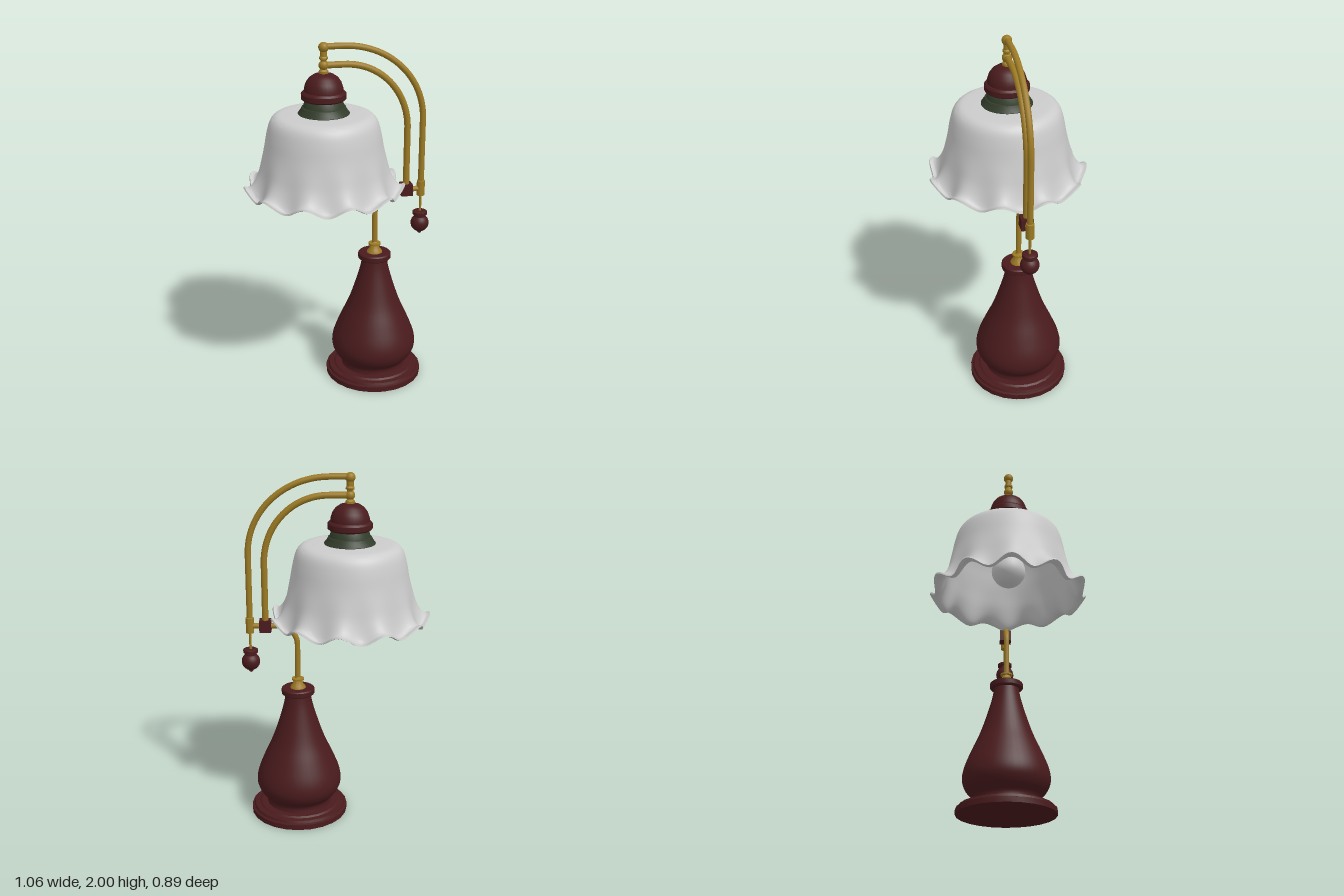
import * as THREE from 'three';
import { toCreasedNormals } from 'three/addons/utils/BufferGeometryUtils.js';

const wood = new THREE.MeshStandardMaterial({ color: 0x4a1b1d });
const brass = new THREE.MeshStandardMaterial({ color: 0x9c7a24 });
const patina = new THREE.MeshStandardMaterial({ color: 0x333d2b });
const glass = new THREE.MeshStandardMaterial({ color: 0xcccccc, side: THREE.DoubleSide });
const bulbGlass = new THREE.MeshStandardMaterial({ color: 0xcccccc });

const BASE_X = 0.21, SHADE_X = -0.083, INNER_X = 0.388, OUTER_X = 0.475;
const v2 = ([x, y]) => new THREE.Vector2(x, y);

export function createModel() {
  const lamp = new THREE.Group();
  lamp.name = 'tableLamp';

  const add = (name, geometry, material, x = 0, y = 0) => {
    const mesh = new THREE.Mesh(geometry, material);
    mesh.name = name;
    mesh.position.set(x, y, 0);
    lamp.add(mesh);
    return mesh;
  };
  // Turned part: profile of [radius, height] from bottom to top
  const turned = (name, profile, material, x, sides = 32) =>
    add(name, toCreasedNormals(new THREE.LatheGeometry(profile.map(v2), sides), 0.6), material, x);
  const ball = (name, r, material, x, y) =>
    add(name, new THREE.SphereGeometry(r, 24, 16), material, x, y);
  // Pipe: straight run, quarter bend, straight run
  const pipe = (name, start, bendStart, corner, bendEnd, end, r) => {
    const p = ([x, y]) => new THREE.Vector3(x, y, 0);
    const k = 0.56;
    const a = p(bendStart), b = p(bendEnd), c = p(corner);
    const path = new THREE.CurvePath();
    path.add(new THREE.LineCurve3(p(start), a));
    path.add(new THREE.CubicBezierCurve3(a, a.clone().lerp(c, k), b.clone().lerp(c, k), b));
    path.add(new THREE.LineCurve3(b, p(end)));
    add(name, new THREE.TubeGeometry(path, 56, r, 14), brass);
  };

  // Foot and vase-shaped body
  turned('foot', [[0, 0], [0.28, 0], [0.28, 0.03], [0.268, 0.034], [0.262, 0.048],
    [0.235, 0.05], [0.225, 0.058], [0, 0.058]], wood, BASE_X, 24);
  const body = new THREE.SplineCurve([[0.19, 0.05], [0.187, 0.09], [0.225, 0.135], [0.245, 0.19],
    [0.235, 0.26], [0.195, 0.36], [0.15, 0.46], [0.112, 0.57], [0.083, 0.67], [0.07, 0.74]].map(v2));
  add('body', new THREE.LatheGeometry(body.getPoints(36), 40), wood, BASE_X);
  turned('bodyCap', [[0, 0.733], [0.088, 0.733], [0.094, 0.739], [0.094, 0.764],
    [0.088, 0.77], [0, 0.77]], wood, BASE_X);
  turned('stemSocket', [[0.045, 0.768], [0.043, 0.778], [0.03, 0.792], [0.022, 0.815], [0.035, 0.817],
    [0.035, 0.827], [0.018, 0.829], [0.015, 0.835]], brass, BASE_X, 24);

  // Stem and the two arched arms
  pipe('stem', [BASE_X, 0.8], [BASE_X, 1.03], [BASE_X, 1.14], [0.32, 1.14], [OUTER_X, 1.14], 0.0155);
  pipe('innerArm', [SHADE_X, 1.876], [0.03, 1.876], [INNER_X, 1.876], [INNER_X, 1.5], [INNER_X, 1.14], 0.018);
  pipe('outerArm', [SHADE_X, 1.976], [0.02, 1.976], [OUTER_X, 1.976], [OUTER_X, 1.55], [OUTER_X, 1.15], 0.017);
  add('armBlock', new THREE.BoxGeometry(0.066, 0.066, 0.066), wood, INNER_X, 1.142);
  turned('armSleeve', [[0, 1.1], [0.023, 1.1], [0.023, 1.187], [0.016, 1.19]], brass, OUTER_X, 20);

  // Hanging finial below the outer arm
  add('finialRod', new THREE.CylinderGeometry(0.007, 0.007, 0.14, 12), brass, OUTER_X, 1.05);
  turned('finialCollar', [[0, 0.965], [0.033, 0.965], [0.033, 0.98], [0.042, 0.984], [0.042, 1.0],
    [0.036, 1.004], [0, 1.004]], wood, OUTER_X, 24);
  ball('finialBall', 0.052, wood, OUTER_X, 0.93);
  ball('finialTip', 0.012, wood, OUTER_X, 0.877);

  // Vertical hanger with ball joints
  turned('hanger', [[0.026, 1.82], [0.026, 1.845], [0.017, 1.855], [0.017, 1.905], [0.024, 1.91],
    [0.024, 1.918], [0.019, 1.925], [0.019, 1.97]], brass, SHADE_X, 20);
  ball('lowerJoint', 0.027, brass, SHADE_X, 1.876);
  ball('upperJoint', 0.028, brass, SHADE_X, 1.972);

  // Lamp holder: wooden dome over a green collar
  turned('holderDome', [[0, 1.688], [0.112, 1.688], [0.123, 1.697], [0.123, 1.724], [0.114, 1.735],
    [0.107, 1.737], [0.106, 1.755], [0.096, 1.785], [0.079, 1.809], [0.054, 1.826], [0.028, 1.833],
    [0, 1.834]], wood, SHADE_X);
  turned('shadeCollar', [[0, 1.606], [0.141, 1.606], [0.141, 1.616], [0.128, 1.632], [0.12, 1.65], [0.112, 1.652],
    [0.106, 1.675], [0.098, 1.69], [0, 1.692]], patina, SHADE_X);

  // Bell shade with eleven ruffles growing towards the rim
  const outer = new THREE.SplineCurve([[0.43, 1.197], [0.408, 1.193], [0.385, 1.222], [0.362, 1.28],
    [0.345, 1.35], [0.327, 1.43], [0.312, 1.51], [0.293, 1.572], [0.262, 1.604], [0.21, 1.612],
    [0.08, 1.614]].map(v2)).getPoints(36);
  const inner = outer.map((p, i) => {
    const a = outer[Math.max(i - 1, 0)], b = outer[Math.min(i + 1, outer.length - 1)];
    const n = new THREE.Vector2(a.y - b.y, b.x - a.x).normalize();
    return p.clone().addScaledVector(n, 0.01);
  }).reverse();
  const shade = new THREE.LatheGeometry([...inner, ...outer], 132);
  const pos = shade.attributes.position;
  for (let i = 0; i < pos.count; i++) {
    const x = pos.getX(i), z = pos.getZ(i), r = Math.hypot(x, z);
    const t = THREE.MathUtils.smoothstep(r, 0.32, 0.435);
    const wave = Math.cos(11 * (Math.atan2(z, x) - Math.PI)) * t;
    const s = (r + 0.016 * wave) / r;
    pos.setXYZ(i, x * s, pos.getY(i) + 0.027 * wave, z * s);
  }
  add('shade', toCreasedNormals(shade, 1.0), glass, SHADE_X);

  // Bulb inside the shade
  const bulb = new THREE.SplineCurve([[0, 1.245], [0.055, 1.262], [0.093, 1.315], [0.09, 1.375],
    [0.055, 1.44], [0.042, 1.5], [0.042, 1.61]].map(v2));
  add('bulb', new THREE.LatheGeometry(bulb.getPoints(28), 28), bulbGlass, SHADE_X);

  return lamp;
}
